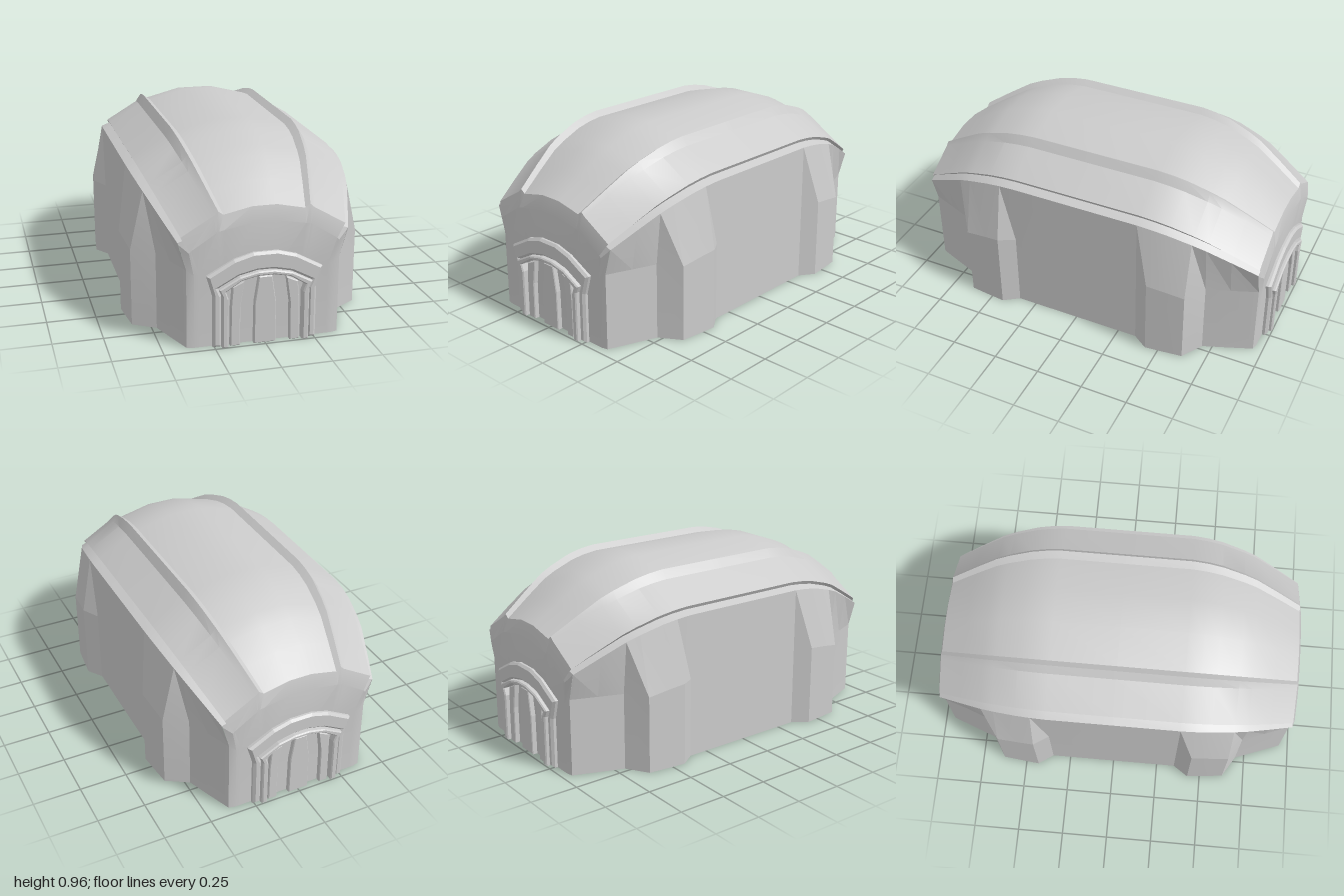
import * as THREE from 'three';
import { toCreasedNormals } from 'three/addons/utils/BufferGeometryUtils.js';

const material = new THREE.MeshStandardMaterial({ color: 0xcccccc, side: THREE.DoubleSide });
const lerp = THREE.MathUtils.lerp;

// Stations from the middle to the end: z, roof drop (0..1), wall foot x, height of the wall's bend
const STATIONS = [
  [0, 0, 0.555, 0.4], [0.35, 0, 0.555, 0.42], [0.43, 0.035, 0.61, 0.43], [0.51, 0.1, 0.602, 0.42],
  [0.63, 0.26, 0.588, 0.4], [0.7, 0.38, 0.475, 0.4], [0.82, 0.67, 0.43, 0.4], [0.95, 1, 0.38, 0.4],
];

// Half roof section from the crown to the eave, at the middle and at the ends
const ROOF_MID = [[0.09, 0.96], [0.285, 0.91], [0.32, 0.935], [0.35, 0.89], [0.52, 0.79], [0.51, 0.772], [0.555, 0.755]];
const ROOF_END = [[0.06, 0.69], [0.2, 0.66], [0.225, 0.678], [0.245, 0.66], [0.405, 0.565], [0.385, 0.552], [0.42, 0.54]];

function mesh(name, geometry) {
  const m = new THREE.Mesh(geometry, material);
  m.name = name;
  return m;
}

// Skin over rows of points
function loft(rows, crease = 0.4) {
  const n = rows[0].length;
  const index = [];
  for (let i = 0; i < rows.length - 1; i++) {
    for (let j = 0; j < n - 1; j++) {
      const a = i * n + j, d = a + n;
      index.push(a, d, a + 1, d, d + 1, a + 1);
    }
  }
  const g = new THREE.BufferGeometry();
  g.setAttribute('position', new THREE.Float32BufferAttribute(rows.flat(2), 3));
  g.setIndex(index);
  return toCreasedNormals(g, crease);
}

// Full-width row from a half row listed from the centre outwards
const mirrorRow = (half) => [...half.map(([x, y, z]) => [-x, y, z]).reverse(), ...half];

function fullLength(halfRow) {
  const back = STATIONS.slice(1).reverse().map(([z, ...rest]) => [-z, ...rest]);
  return [...back, ...STATIONS].map(halfRow);
}

const roofPoint = (k, t, z) => [
  lerp(ROOF_MID[k][0], ROOF_END[k][0], t), lerp(ROOF_MID[k][1], ROOF_END[k][1], t), z,
];

function roof() {
  return mesh('roof', loft(fullLength(([z, t]) => mirrorRow(ROOF_MID.map((_, k) => roofPoint(k, t, z))))));
}

// Side wall with the buttresses folded into its plan
function sideWall(side) {
  const rows = fullLength(([z, t, x, bend]) => {
    const row = [roofPoint(6, t, z), [x, bend, z], [x, 0, z]];
    return side > 0 ? row : row.map(([px, y, pz]) => [-px, y, pz]).reverse();
  });
  return mesh(side > 0 ? 'leftWall' : 'rightWall', loft(rows, 0.12));
}

// End wall: sloping fascia under the roof edge, then the face with chamfered corners
function endWall() {
  const top = ROOF_END.map(([x, y]) => [x, y, 0.95]);
  const fascia = [[0.06, 0.615], [0.2, 0.59], [0.225, 0.585], [0.24, 0.577], [0.36, 0.5], [0.37, 0.49], [0.415, 0.53]];
  const bendX = [0.06, 0.18, 0.2, 0.22, 0.32, 0.345, 0.38];
  const rowAt = (y) => bendX.map((x, k) => [x, y + (k === 6 && y > 0 ? 0.03 : 0), k === 6 ? 0.95 : 0.958]);
  const rows = [
    top,
    fascia.map(([x, y], k) => [x, y, k === 6 ? 0.95 : 0.968]),
    rowAt(0.37),
    rowAt(0),
  ];
  return mesh('endWall', loft(rows.map(mirrorRow), 0.3));
}

// Extruded flat outline standing on the end wall, reaching out to zFront
function slab(name, points, zFront, bevel) {
  const shape = new THREE.Shape(points.map(([x, y]) => new THREE.Vector2(x, y)));
  const g = new THREE.ExtrudeGeometry(shape, {
    depth: zFront - 0.94 - bevel, bevelEnabled: true, bevelSegments: 1,
    bevelSize: bevel, bevelThickness: bevel, bevelOffset: -bevel,
  });
  g.translate(0, 0, 0.94);
  return mesh(name, g);
}

// Arch outlines as half rows from the crown to the foot
const ARCH_OUTER = [[0.06, 0.467], [0.155, 0.44], [0.287, 0.367], [0.258, 0.265], [0.258, 0]];
const ARCH_MIDDLE = [[0.04, 0.377], [0.13, 0.357], [0.232, 0.302], [0.216, 0.265], [0.216, 0]];
const ARCH_INNER = [[0.04, 0.355], [0.12, 0.338], [0.198, 0.288], [0.185, 0.25], [0.185, 0]];

function archFrame(name, outer, inner, zFront, bevel) {
  const full = (h) => [...h.map(([x, y]) => [-x, y]).reverse(), ...h];
  return slab(name, [...full(outer), ...full(inner).reverse()], zFront, bevel);
}

function doorway() {
  const g = new THREE.Group();
  g.name = 'doorway';
  g.add(archFrame('outerArch', ARCH_OUTER, ARCH_MIDDLE, 0.985, 0.012));
  g.add(archFrame('innerArch', ARCH_MIDDLE, ARCH_INNER, 1.0, 0.006));
  // Tapering ribs of the door
  g.add(slab('middleRib', [[-0.055, 0], [0.055, 0], [0.053, 0.21], [0.033, 0.346], [-0.033, 0.346], [-0.053, 0.21]], 0.985, 0.004));
  for (const s of [1, -1]) {
    const rib = [[0.125, 0], [0.172, 0], [0.17, 0.2], [0.162, 0.305], [0.105, 0.33], [0.123, 0.2]];
    g.add(slab(s > 0 ? 'leftRib' : 'rightRib', rib.map(([x, y]) => [s * x, y]), 0.985, 0.004));
  }
  return g;
}

export function createModel() {
  const model = new THREE.Group();
  model.name = 'vaultedShelter';
  model.add(roof(), sideWall(1), sideWall(-1));
  // Both ends are alike
  for (const name of ['frontEnd', 'backEnd']) {
    const end = new THREE.Group();
    end.name = name;
    end.add(endWall(), doorway());
    if (name === 'backEnd') end.rotation.y = Math.PI;
    model.add(end);
  }
  return model;
}
